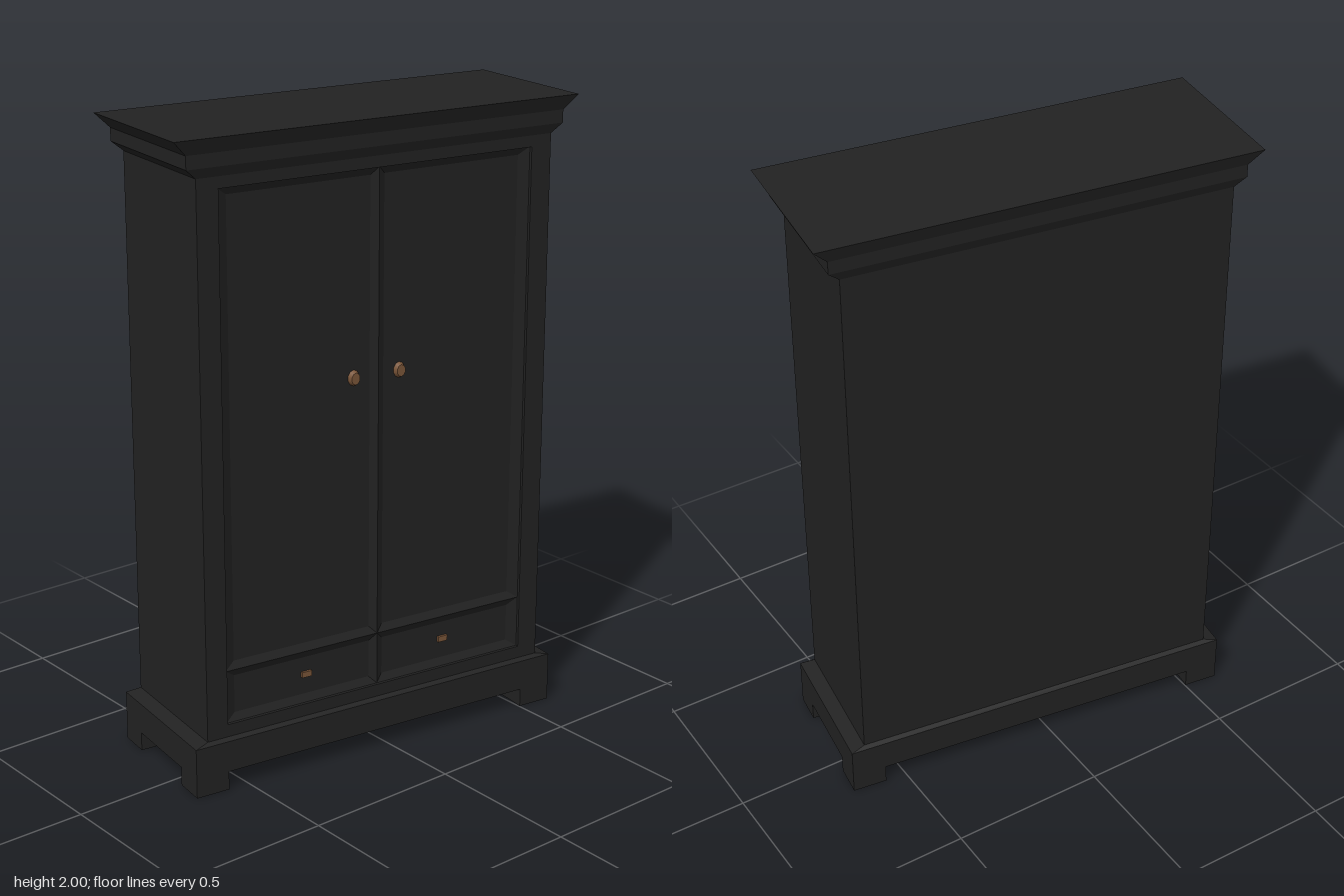
import * as THREE from 'three';

const wood = new THREE.MeshStandardMaterial({ color: 0x222222, side: THREE.DoubleSide });
wood.name = 'blackWood';
const brass = new THREE.MeshStandardMaterial({ color: 0x7a5538 });
brass.name = 'brownBrass';

// Joins four-cornered loops into flat faces; can leave out one side or close the last loop
function loft(loops, { skip = -1, cap = false } = {}) {
  const pos = [];
  const quad = (a, b, c, d) => pos.push(...a, ...b, ...c, ...a, ...c, ...d);
  for (let k = 0; k + 1 < loops.length; k++) {
    const a = loops[k], b = loops[k + 1];
    for (let i = 0; i < 4; i++) {
      const j = (i + 1) % 4;
      if (i !== skip) quad(a[i], a[j], b[j], b[i]);
    }
  }
  if (cap) quad(...loops[loops.length - 1]);
  const geo = new THREE.BufferGeometry();
  geo.setAttribute('position', new THREE.Float32BufferAttribute(pos, 3));
  geo.computeVertexNormals();
  return geo;
}

// Horizontal loop (half width, half depth, height) and upright loop on the front
const flat = (w, d, y) => [[-w, y, d], [w, y, d], [w, y, -d], [-w, y, -d]];
const upright = (x0, x1, y0, y1, z) => [[x0, y0, z], [x1, y0, z], [x1, y1, z], [x0, y1, z]];

export function createModel() {
  const model = new THREE.Group();
  model.name = 'wardrobe';
  const body = new THREE.Group();
  body.name = 'wardrobeBody';
  body.rotation.y = THREE.MathUtils.degToRad(82);
  model.add(body);

  const add = (name, geo, mat = wood, x = 0, y = 0, z = 0) => {
    const mesh = new THREE.Mesh(geo, mat);
    mesh.name = name;
    mesh.position.set(x, y, z);
    body.add(mesh);
    return mesh;
  };

  const W = 0.605, D = 0.222;          // carcass half width and half depth
  const low = 0.17, high = 1.885;      // carcass bottom and top
  const panelZ = 0.2, ridgeZ = 0.212;  // recessed levels on the front

  // Plinth, carcass and cornice
  add('plinth', loft([flat(0.651, 0.234, 0.06), flat(0.651, 0.234, 0.16), flat(W, D, low)]));
  add('carcass', loft([flat(W, D, low), flat(W, D, high)], { skip: 0 }));
  add('cornice', loft([
    flat(W, D, high), flat(0.64, 0.233, 1.915), flat(0.64, 0.233, 1.955), flat(0.684, 0.249, 2),
  ], { cap: true }));

  // Feet
  for (const sx of [-1, 1]) for (const sz of [-1, 1]) {
    add('foot', new THREE.BoxGeometry(0.11, 0.06, 0.1), wood, sx * 0.596, 0.03, sz * 0.184);
  }

  // Front frame with its opening
  const open = { x: 0.535, y0: 0.21, y1: 1.85 };
  const shape = new THREE.Shape([[-W, low], [W, low], [W, high], [-W, high]].map(p => new THREE.Vector2(...p)));
  shape.holes.push(new THREE.Path([
    [-open.x, open.y0], [-open.x, open.y1], [open.x, open.y1], [open.x, open.y0],
  ].map(p => new THREE.Vector2(...p))));
  add('frontFrame', new THREE.ShapeGeometry(shape), wood, 0, 0, D);
  add('frameReveal', loft([
    upright(-open.x, open.x, open.y0, open.y1, D), upright(-open.x, open.x, open.y0, open.y1, ridgeZ),
  ]));

  // Bevelled doors and drawers, meeting in a narrow ridge
  const rail = 0.38, bevel = 0.024;
  for (const s of [-1, 1]) {
    for (const [name, y0, y1] of [['door', rail, open.y1], ['drawer', open.y0, rail]]) {
      const x0 = s > 0 ? 0 : -open.x, x1 = s > 0 ? open.x : 0;
      const inL = s > 0 ? bevel : 0.035, inR = s > 0 ? 0.035 : bevel;
      add(name, loft([
        upright(x0, x1, y0, y1, ridgeZ),
        upright(x0 + inL, x1 - inR, y0 + bevel, y1 - bevel, panelZ),
      ], { cap: true }));
    }

    // Door knob
    const knob = new THREE.CylinderGeometry(0.015, 0.02, 0.014, 10);
    knob.rotateX(Math.PI / 2);
    knob.scale(1, 1.25, 1);
    add('doorKnob', knob, brass, s * 0.08, 1.22, panelZ + 0.007);

    // Drawer pull
    add('drawerPull', new THREE.BoxGeometry(0.034, 0.018, 0.008), brass, s * 0.25, 0.3, panelZ + 0.004);
  }
  return model;
}
